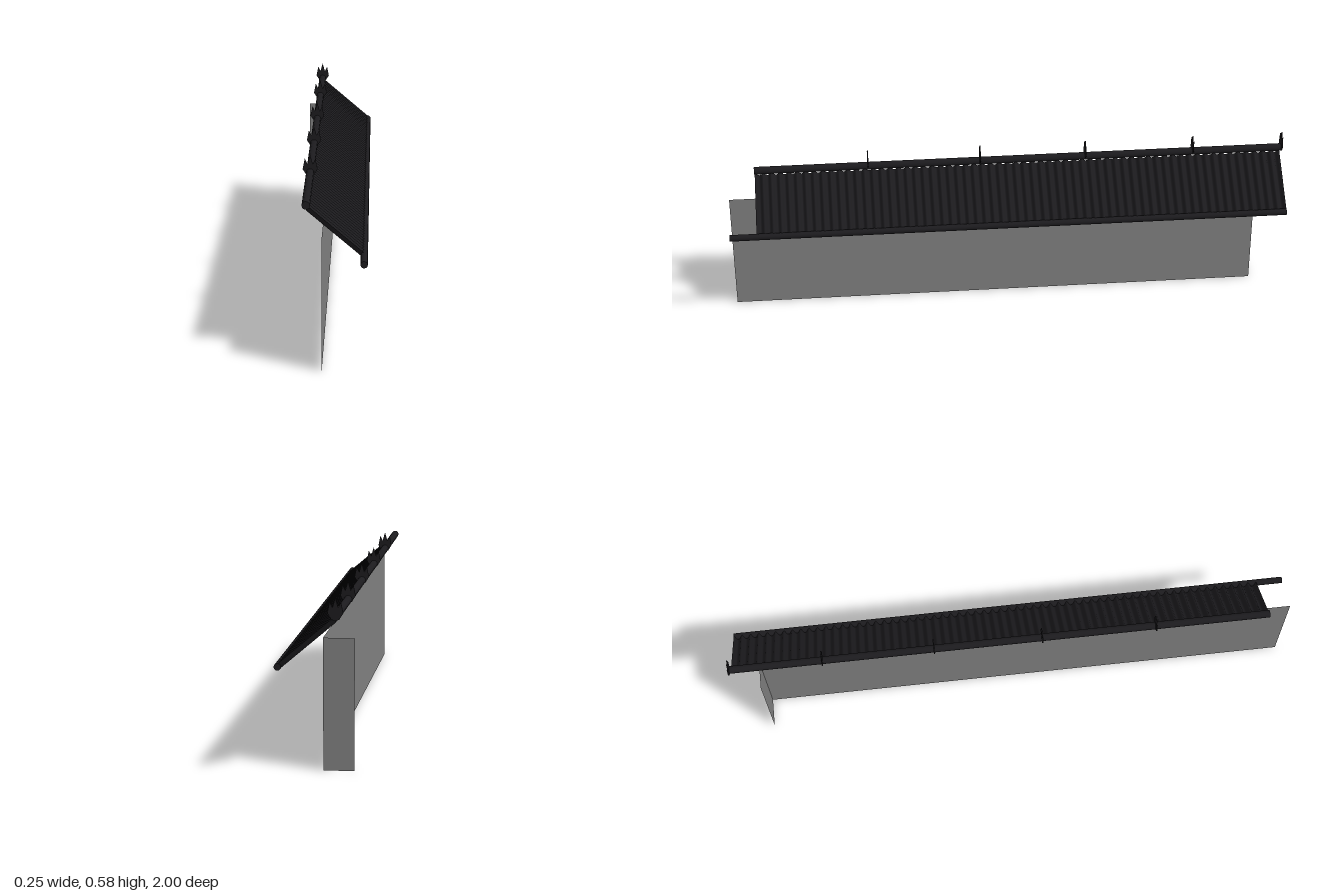
import * as THREE from 'three';

export function createModel() {
  const model = new THREE.Group();
  const dark = new THREE.MeshStandardMaterial({ color: 0x1c1b1e, side: THREE.DoubleSide });
  const plaster = new THREE.MeshStandardMaterial({ color: 0x808080, side: THREE.DoubleSide });

  const add = (name, geometry, material, x, y, z) => {
    const mesh = new THREE.Mesh(geometry, material);
    mesh.name = name;
    mesh.position.set(x, y, z);
    model.add(mesh);
    return mesh;
  };

  // Wall: a long thin face with a short return at the back end
  const wallHeight = 0.432;
  add('longWall', new THREE.PlaneGeometry(1.9, wallHeight).rotateY(Math.PI / 2),
    plaster, -0.023, wallHeight / 2, 0.05);
  add('returnWall', new THREE.PlaneGeometry(0.101, wallHeight).rotateY(Math.PI),
    plaster, -0.0735, wallHeight / 2, -0.9);

  // Corrugated roof slope, waves running from ridge to eave
  const top = new THREE.Vector2(-0.07, 0.504);
  const eave = new THREE.Vector2(0.108, 0.352);
  const slope = eave.clone().sub(top);
  const waves = 63, length = 1.895;
  const sheet = new THREE.PlaneGeometry(slope.length(), length, 1, waves * 8);
  sheet.rotateX(-Math.PI / 2);
  const p = sheet.attributes.position;
  for (let i = 0; i < p.count; i++) {
    p.setY(i, 0.009 * Math.cos((p.getZ(i) / length + 0.5) * waves * Math.PI * 2));
  }
  sheet.computeVertexNormals();
  const roof = add('corrugatedRoof', sheet, dark,
    (top.x + eave.x) / 2, (top.y + eave.y) / 2, -0.0425);
  roof.rotation.z = slope.angle();

  // Round ridge and eave poles
  const pole = (name, radius, x, y, zBack, zFront) =>
    add(name, new THREE.CylinderGeometry(radius, radius, zFront - zBack, 12).rotateX(Math.PI / 2),
      dark, x, y, (zBack + zFront) / 2);
  pole('ridgePole', 0.0135, -0.075, 0.517, -0.997, 0.907);
  pole('eavePole', 0.0115, 0.11, 0.352, -0.99, 1);

  // Three-pointed flat finials along the ridge
  const half = [[0.012, 0.508], [0.025, 0.529], [0.018, 0.564], [0.009, 0.546]];
  const outline = [
    ...half, [0, 0.578],
    ...half.slice().reverse().map(([x, y]) => [-x, y]),
  ].map(([x, y]) => new THREE.Vector2(x, y));
  const finial = new THREE.ExtrudeGeometry(new THREE.Shape(outline), { depth: 0.004, bevelEnabled: false });
  finial.translate(0, 0, -0.002);
  for (const z of [-0.998, -0.672, -0.28, 0.1, 0.502]) {
    add('ridgeFinial', finial, dark, -0.075, 0, z);
  }

  return model;
}
